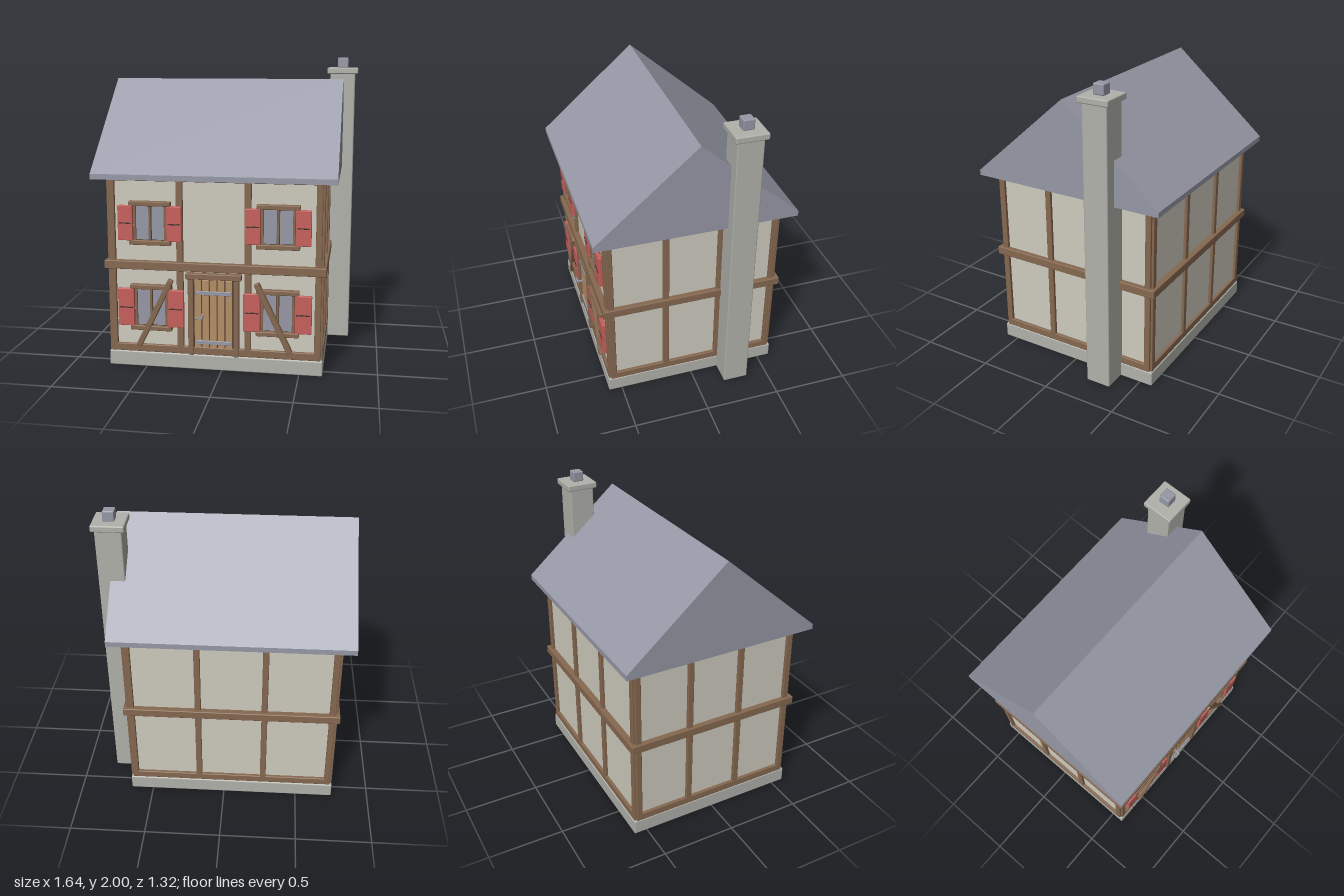
import * as THREE from 'three';
import { RoundedBoxGeometry } from 'three/addons/geometries/RoundedBoxGeometry.js';

const paint = (name, color) => {
  const m = new THREE.MeshStandardMaterial({ color });
  m.name = name;
  return m;
};

export function createModel() {
  const house = new THREE.Group();
  house.name = 'house';
  const plaster = paint('plaster', 0xcfccbf);
  const stone = paint('stone', 0xb1b2ab);
  const slate = paint('slate', 0x9698a6);
  const timber = paint('timber', 0x866850);
  const red = paint('shutter red', 0xc8605c);
  const plank = paint('door plank', 0xb38f66);
  const dark = paint('dark gap', 0x46352a);

  // Slightly bevelled block given by its minimum and maximum corners
  function block(name, mat, x0, x1, y0, y1, z0, z1, parent = house, bevel = 0.005) {
    const w = x1 - x0, h = y1 - y0, d = z1 - z0;
    const r = Math.min(bevel, w / 4, h / 4, d / 4);
    const mesh = new THREE.Mesh(new RoundedBoxGeometry(w, h, d, 1, r), mat);
    mesh.position.set((x0 + x1) / 2, (y0 + y1) / 2, (z0 + z1) / 2);
    mesh.name = name;
    parent.add(mesh);
    return mesh;
  }

  // Foundation and plaster walls
  block('foundation', stone, -0.75, 0.65, 0, 0.1, -0.59, 0.59, house, 0.008);
  block('walls', plaster, -0.73, 0.63, 0.1, 1.27, -0.565, 0.565);

  // Roof: gabled prism with a short vertical eave
  const gable = new THREE.Shape([[-0.66, 1.25], [0.66, 1.25], [0.66, 1.285], [0, 1.86], [-0.66, 1.285]]
    .map(([x, y]) => new THREE.Vector2(x, y)));
  const roofGeo = new THREE.ExtrudeGeometry(gable, { depth: 1.55, bevelEnabled: false });
  roofGeo.rotateY(Math.PI / 2).translate(-0.825, 0, 0);
  const roof = new THREE.Mesh(roofGeo, slate);
  roof.name = 'roof';
  house.add(roof);

  // Chimney
  block('chimneyShaft', stone, 0.63, 0.8, 0, 1.9, -0.36, -0.19, house, 0.008);
  block('chimneyCap', stone, 0.61, 0.82, 1.89, 1.932, -0.38, -0.17, house, 0.008);
  block('chimneyPot', slate, 0.678, 0.752, 1.93, 2.0, -0.312, -0.238, house, 0.008);

  // Timber frame
  const frame = new THREE.Group();
  frame.name = 'timberFrame';
  house.add(frame);
  for (const s of [-1, 1]) {
    const z = s * 0.5625;
    const zBeam = (name, x0, x1, y0, y1) => block(name, timber, x0, x1, y0, y1, z - 0.0225, z + 0.0225, frame);
    zBeam(s > 0 ? 'frontBottomBeam' : 'backBottomBeam', -0.735, 0.635, 0.1, 0.15);
    zBeam(s > 0 ? 'frontTopBeam' : 'backTopBeam', -0.735, 0.635, 1.235, 1.27);
    const posts = s > 0
      ? [[-0.735, -0.695], [-0.293, -0.25], [0.147, 0.19], [0.595, 0.635]]
      : [[-0.735, -0.695], [-0.29, -0.25], [0.15, 0.19], [0.595, 0.635]];
    for (const [x0, x1] of posts) zBeam(s > 0 ? 'frontPost' : 'backPost', x0, x1, 0.1, 1.25);

    const x = -0.05 + s * 0.68;
    const side = s > 0 ? 'left' : 'right';
    const xBeam = (name, z0, z1, y0, y1) => block(name, timber, x - 0.02, x + 0.02, y0, y1, z0, z1, frame);
    xBeam(side + 'BottomBeam', -0.57, 0.57, 0.1, 0.15);
    xBeam(side + 'TopBeam', -0.57, 0.57, 1.235, 1.27);
    for (const c of [-0.55, -0.182, 0.182, 0.55]) xBeam(side + 'Post', c - 0.02, c + 0.02, 0.1, 1.25);
  }
  block('beltBeam', timber, -0.765, 0.665, 0.66, 0.715, -0.605, 0.605, frame);

  // Windows with shutters, centred at cx, glass bottom at y0
  function shutteredWindow(cx, y0, h, shutterWidth) {
    const win = new THREE.Group();
    win.name = 'window';
    house.add(win);
    const y1 = y0 + h;
    block('windowRecess', dark, cx - 0.112, cx + 0.112, y0, y1, 0.55, 0.572, win);
    for (const s of [-1, 1]) {
      const gx = cx + s * 0.051;
      block('glass', slate, gx - 0.041, gx + 0.041, y0 + 0.005, y1 - 0.005, 0.57, 0.576, win, 0.001);
      const a = cx + s * 0.11, b = cx + s * (0.11 + shutterWidth);
      const x0 = Math.min(a, b), x1 = Math.max(a, b);
      block('shutter', red, x0, x1, y0, y1, 0.575, 0.602, win);
      block('shutterGroove', dark, x0 + 0.01, x1 - 0.01, y0 + h / 2 - 0.004, y0 + h / 2 + 0.004, 0.6, 0.606, win, 0.001);
      const jx = cx + s * 0.1;
      block('windowJamb', timber, jx - 0.008, jx + 0.008, y0, y1, 0.56, 0.588, win, 0.002);
    }
    block('mullion', timber, cx - 0.007, cx + 0.007, y0, y1, 0.56, 0.588, win, 0.002);
    block('lintel', timber, cx - 0.137, cx + 0.137, y1 - 0.002, y1 + 0.028, 0.56, 0.602, win);
    block('sill', timber, cx - 0.137, cx + 0.137, y0 - 0.028, y0 + 0.002, 0.56, 0.602, win);
  }
  for (const cx of [-0.463, 0.36]) {
    shutteredWindow(cx, 0.85, 0.228, 0.098);
    shutteredWindow(cx, 0.28, 0.25, 0.108);
  }

  // Diagonal braces across the lower windows
  for (const [xb, xt] of [[-0.547, -0.328], [0.442, 0.225]]) {
    const len = Math.hypot(xt - xb, 0.45);
    const brace = block('brace', timber, -0.018, 0.018, -len / 2, len / 2, 0.57, 0.609);
    brace.position.x = (xb + xt) / 2;
    brace.position.y = 0.372;
    brace.rotation.z = Math.atan2(xb - xt, 0.45);
  }

  // Door with planks, strap hinges and handle
  const door = new THREE.Group();
  door.name = 'door';
  house.add(door);
  block('doorRecess', dark, -0.187, 0.082, 0.1, 0.615, 0.55, 0.574, door);
  for (let i = 0; i < 5; i++) {
    const x = -0.178 + i * 0.0505;
    block('doorPlank', plank, x, x + 0.045, 0.1, 0.604, 0.56, 0.583, door, 0.003);
  }
  for (const x of [-0.218, 0.078]) block('doorPost', timber, x, x + 0.036, 0.1, 0.615, 0.55, 0.6, door);
  block('doorLintel', timber, -0.232, 0.13, 0.61, 0.648, 0.55, 0.607, door);
  for (const y of [0.186, 0.518]) block('hinge', slate, -0.167, 0.065, y - 0.013, y + 0.013, 0.58, 0.592, door, 0.003);
  block('handleStem', slate, -0.132, -0.12, 0.354, 0.366, 0.58, 0.63, door, 0.002);
  block('handleBar', slate, -0.168, -0.12, 0.355, 0.366, 0.62, 0.631, door, 0.002);
  block('handlePlate', slate, -0.136, -0.116, 0.345, 0.375, 0.58, 0.588, door, 0.002);

  return house;
}
